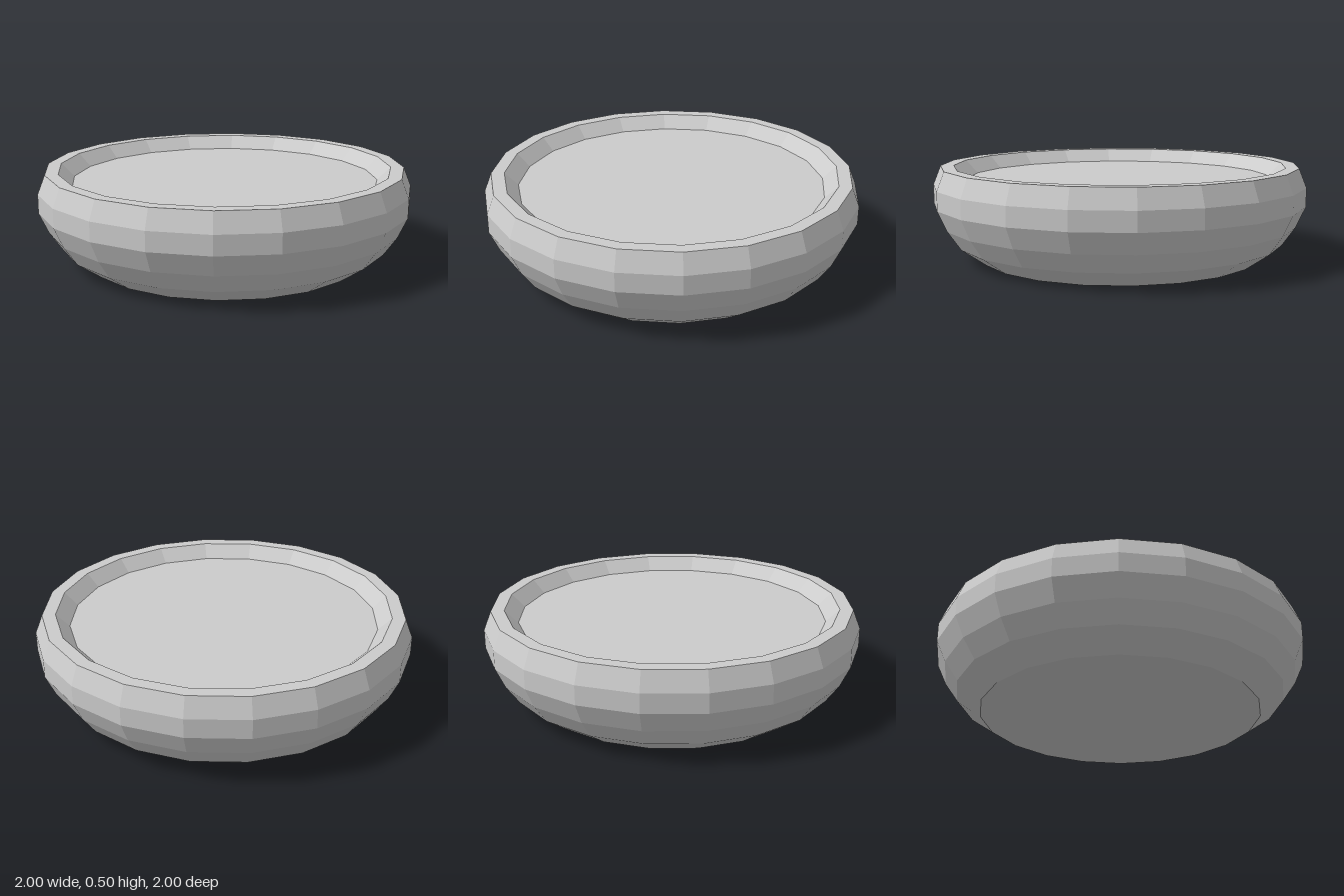
import * as THREE from 'three';

const SIDES = 20;

export function createModel() {
  const model = new THREE.Group();
  model.name = 'shallowDish';
  const material = new THREE.MeshStandardMaterial({ color: 0xcccccc, flatShading: true });

  // Turns a [radius, height] profile, listed from the base outward and up, into a faceted part
  const turn = (name, profile) => {
    const points = profile.map(([r, y]) => new THREE.Vector2(r, y));
    const mesh = new THREE.Mesh(new THREE.LatheGeometry(points, SIDES), material);
    mesh.name = name;
    model.add(mesh);
  };

  // Flat disc facing up or down
  const disc = (name, radius, y, facing) => {
    const geometry = new THREE.CircleGeometry(radius, SIDES).rotateX(-facing * Math.PI / 2);
    const mesh = new THREE.Mesh(geometry, material);
    mesh.name = name;
    mesh.position.y = y;
    model.add(mesh);
  };

  disc('base', 0.75, 0, -1);

  // Rounded outer wall
  turn('outerWall', [[0.75, 0], [0.88, 0.09], [0.95, 0.19], [1, 0.3], [1, 0.4], [0.96, 0.5]]);

  // Flat rim and the bevel sloping down to the recessed top
  turn('rim', [[0.96, 0.5], [0.89, 0.5]]);
  turn('innerBevel', [[0.89, 0.5], [0.82, 0.43]]);

  disc('recessedTop', 0.82, 0.43, 1);

  return model;
}
